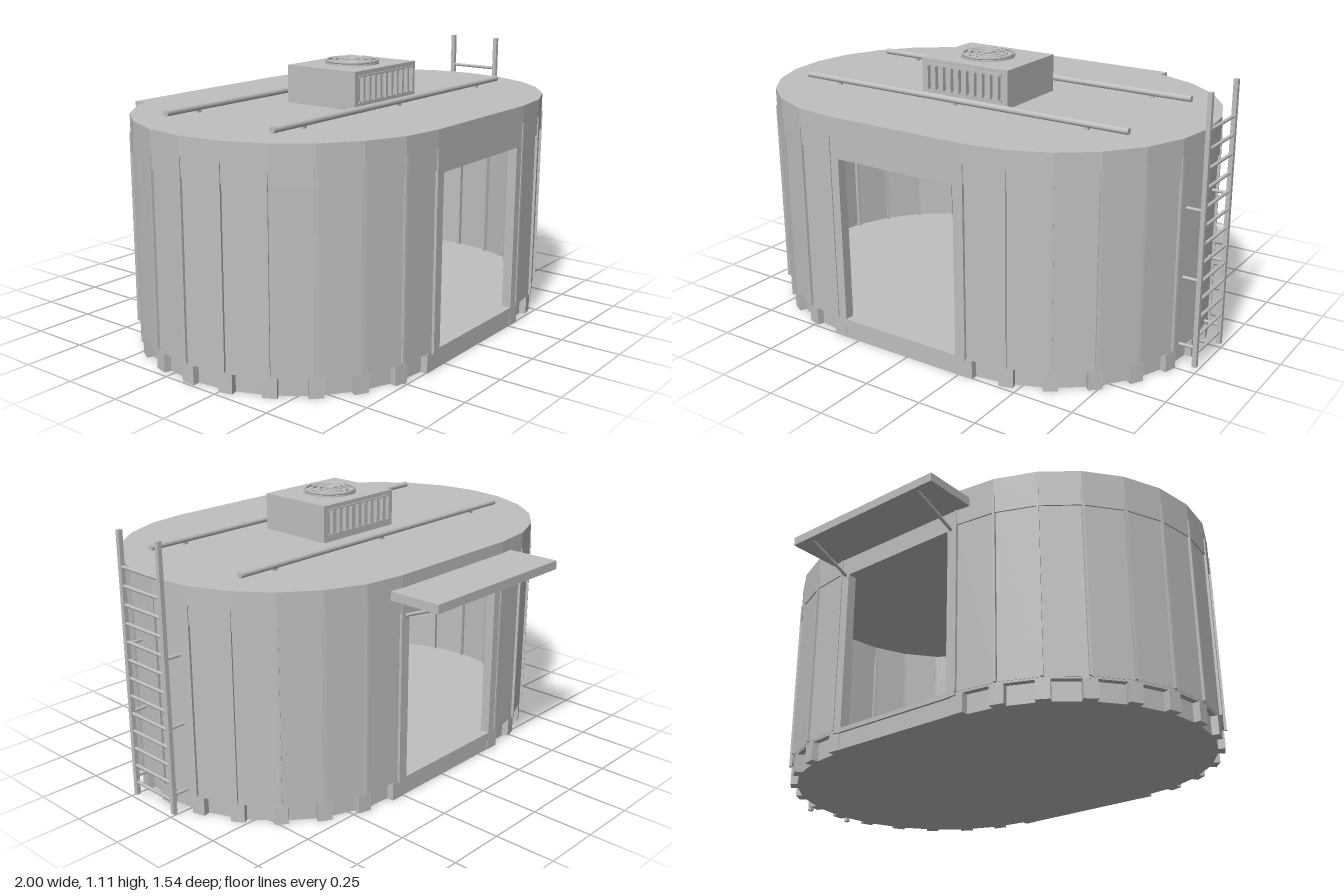
import * as THREE from 'three';

export function createModel() {
  const root = new THREE.Group();
  root.name = 'shelter';
  const body = new THREE.Group();
  body.name = 'shelterBody';
  body.position.set(-0.03, 0, 0.108);
  root.add(body);
  const grey = new THREE.MeshStandardMaterial({ color: 0xbfbfbf });
  grey.name = 'plain grey';

  const HALF = 0.315, R = 0.656, STEP = Math.PI / 12;

  const add = (name, geo, parent = body) => {
    const m = new THREE.Mesh(geo, grey);
    m.name = name;
    parent.add(m);
    return m;
  };
  // box given by its lower and upper limits
  const box = (name, x0, x1, y0, y1, z0, z1, parent = body) => {
    const m = add(name, new THREE.BoxGeometry(x1 - x0, y1 - y0, z1 - z0), parent);
    m.position.set((x0 + x1) / 2, (y0 + y1) / 2, (z0 + z1) / 2);
    return m;
  };
  // round bar between two points
  const bar = (name, a, b, r, parent = body, sides = 8) => {
    const p = new THREE.Vector3(...a), q = new THREE.Vector3(...b);
    const m = add(name, new THREE.CylinderGeometry(r, r, p.distanceTo(q), sides), parent);
    m.position.copy(p).add(q).multiplyScalar(0.5);
    m.quaternion.setFromUnitVectors(new THREE.Vector3(0, 1, 0), q.sub(p).normalize());
    return m;
  };
  // half-round end: 12 facets on side s
  const arc = (r, s) => Array.from({ length: 13 }, (_, i) => {
    const a = (i - 6) * STEP;
    return new THREE.Vector2(s * (HALF + r * Math.cos(a)), s * r * Math.sin(a));
  });
  const stadium = r => [...arc(r, 1), ...arc(r, -1)];
  const rise = (shape, y0, y1) => new THREE.ExtrudeGeometry(shape, { depth: y1 - y0, bevelEnabled: false })
    .rotateX(-Math.PI / 2).translate(0, y0, 0);

  // base, floor, roof and upper band
  add('base', rise(new THREE.Shape(stadium(0.622)), 0, 0.076));
  add('floor', rise(new THREE.Shape(stadium(0.648)), 0.076, 0.084));
  const band = new THREE.Shape(stadium(R));
  band.holes.push(new THREE.Path(stadium(0.625)));
  add('upperBand', rise(band, 0.785, 0.92));
  add('roof', rise(new THREE.Shape(stadium(R)), 0.92, 0.936));

  for (const s of [1, -1]) {
    // rounded end wall
    add('endWall', rise(new THREE.Shape([...arc(0.65, s), ...arc(0.625, s).reverse()]), 0.084, 0.785));
    // ribs and base feet at each facet corner
    for (let i = -6; i <= 6; i++) {
      const spoke = new THREE.Group();
      spoke.name = 'ribStation';
      spoke.position.x = s * HALF;
      spoke.rotation.y = i * STEP + (s < 0 ? Math.PI : 0);
      body.add(spoke);
      box('rib', 0.605, 0.66, 0.084, 0.862, -0.005, 0.005, spoke);
      box('foot', 0.59, 0.647, 0, 0.076, -0.028, 0.028, spoke);
    }
    // door frame on the front and back
    const z0 = s > 0 ? 0.615 : -0.656, z1 = s > 0 ? 0.656 : -0.615;
    for (const t of [1, -1]) box('doorPost', t * 0.294 - 0.021, t * 0.294 + 0.021, 0.07, 0.785, z0, z1);
    box('doorLintel', -0.3, 0.3, 0.77, 0.79, z0, z1);
    box('doorSill', -0.29, 0.29, 0.068, 0.086, z0, z1);
    box('doorBase', -0.29, 0.29, 0, 0.068, s > 0 ? 0.6 : -0.645, s > 0 ? 0.645 : -0.6);
    // canopy strut
    bar('canopyStrut', [s * 0.29, 0.77, -0.65], [s * 0.29, 0.855, -0.86], 0.007);
  }
  box('canopy', -0.378, 0.376, 0.85, 0.886, -0.876, -0.65);

  // roof rods
  for (const z of [-0.267, 0.263]) {
    bar('roofRod', [-0.775, 0.957, z], [0.775, 0.957, z], 0.013, body, 12);
    for (const x of [-0.6, 0, 0.6]) box('rodMount', x - 0.01, x + 0.01, 0.93, 0.952, z - 0.006, z + 0.006);
  }

  // air unit with side grilles and a round fan guard
  const unit = new THREE.Group();
  unit.name = 'airUnit';
  unit.position.set(0, 0.936, 0.028);
  body.add(unit);
  box('airUnitCase', -0.208, 0.208, 0, 0.154, -0.17, 0.17, unit);
  for (const s of [1, -1]) {
    const grille = new THREE.Group();
    grille.name = 'sideGrille';
    grille.rotation.y = s > 0 ? 0 : Math.PI;
    unit.add(grille);
    for (const y of [0.03, 0.132]) box('grilleRail', -0.182, 0.182, y - 0.005, y + 0.005, 0.168, 0.176, grille);
    for (let i = 0; i < 10; i++) {
      const fin = box('grilleFin', -0.004, 0.004, 0.032, 0.13, 0.168, 0.188, grille);
      fin.position.x = -0.171 + i * 0.038;
    }
  }
  add('fanCollar', new THREE.CylinderGeometry(0.111, 0.111, 0.01, 32, 1).translate(0, 0.156, 0), unit);
  for (const r of [0.104, 0.075, 0.045]) {
    add('fanRing', new THREE.TorusGeometry(r, 0.006, 6, 32).rotateX(Math.PI / 2).translate(0, 0.166, 0), unit);
  }
  add('fanHub', new THREE.CylinderGeometry(0.018, 0.018, 0.014, 16).translate(0, 0.165, 0), unit);
  box('fanSpokeX', -0.104, 0.104, 0.16, 0.17, -0.005, 0.005, unit);
  box('fanSpokeZ', -0.005, 0.005, 0.16, 0.17, -0.104, 0.104, unit);

  // side ladder
  const ladder = new THREE.Group();
  ladder.name = 'ladder';
  body.add(ladder);
  for (const z of [0.117, -0.115]) {
    box('ladderRail', 1.009, 1.027, 0.015, 1.106, z - 0.009, z + 0.009, ladder);
    for (const y of [0.095, 0.375, 0.655]) bar('ladderStandoff', [0.935, y, z], [1.018, y, z], 0.007, ladder);
  }
  for (let i = 0; i < 13; i++) {
    const y = 0.07 + i * 0.0745;
    bar('ladderRung', [1.018, y, -0.115], [1.018, y, 0.117], 0.007, ladder);
  }
  return root;
}
